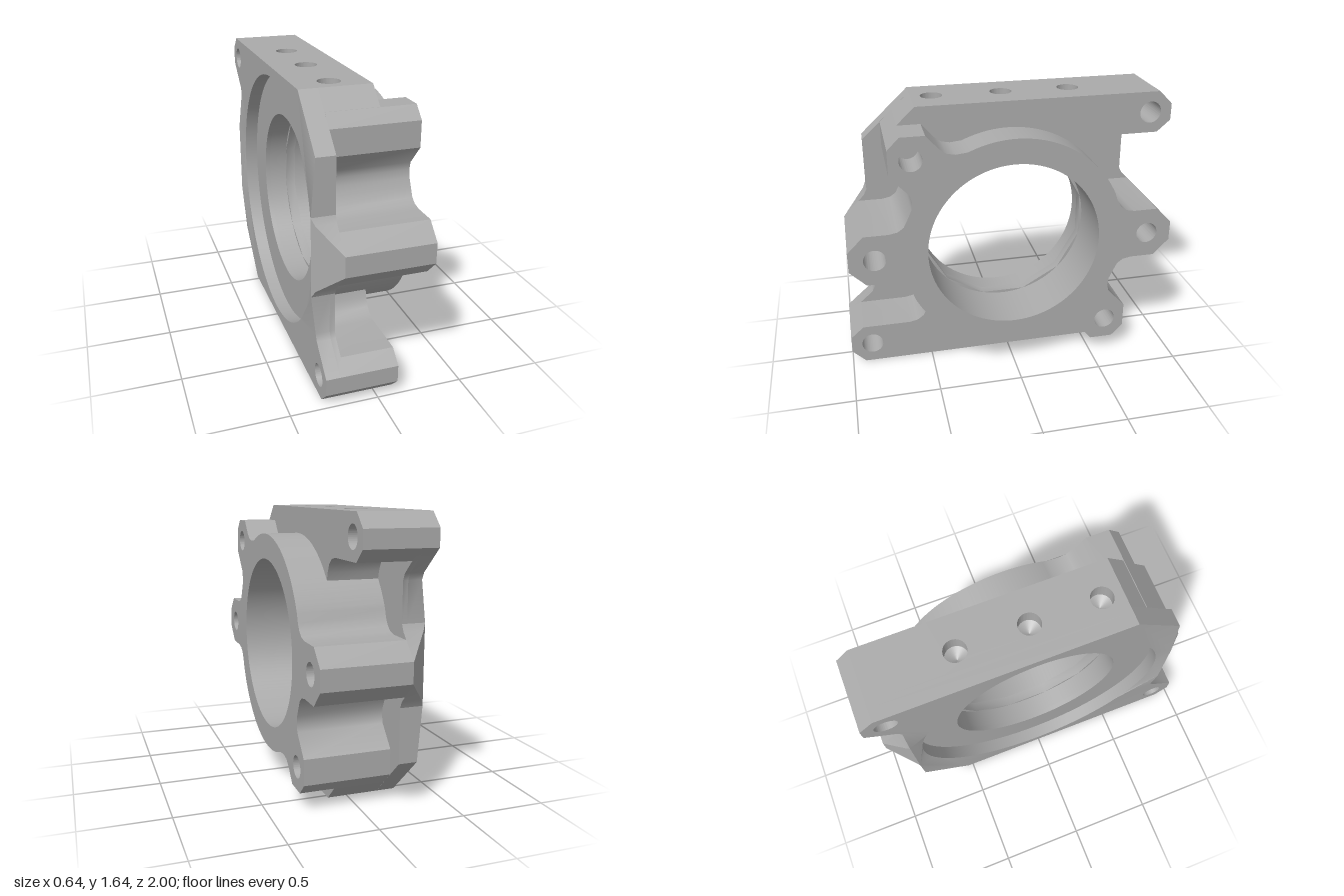
import * as THREE from 'three';
import { toCreasedNormals } from 'three/addons/utils/BufferGeometryUtils.js';

const CY = 0.82; // height of the bore axis
const BORE = 0.515;

// Half-turn copy of a point list about the bore axis
const turn = pts => pts.map(([s, y]) => [-s, 2 * CY - y]);

// Profile in (s, y), with s = -z, and round holes [s, y, radius]
function profile(pts, holes = []) {
  const shape = new THREE.Shape(pts.map(p => new THREE.Vector2(...p)));
  for (const [s, y, r] of holes) {
    shape.holes.push(new THREE.Path().absarc(s, y, r, 0, Math.PI * 2, true));
  }
  return shape;
}

// Extrude a profile along x from x0 to x1; backRule may reshape the x0 face
function extrudeX(shape, x0, x1, backRule) {
  const geo = new THREE.ExtrudeGeometry(shape, { depth: x1 - x0, bevelEnabled: false, curveSegments: 64 });
  geo.translate(0, 0, x0);
  if (backRule) {
    const p = geo.attributes.position;
    for (let i = 0; i < p.count; i++) {
      if (Math.abs(p.getZ(i) - x0) < 1e-4) p.setZ(i, backRule(p.getX(i), p.getY(i)));
    }
  }
  geo.rotateY(Math.PI / 2);
  return toCreasedNormals(geo, 0.6);
}

export function createModel() {
  const group = new THREE.Group();
  const metal = new THREE.MeshStandardMaterial({ color: 0xaaaaaa });
  metal.name = 'machined grey';
  metal.side = THREE.DoubleSide;
  const add = (name, geo) => {
    const mesh = new THREE.Mesh(geo, metal);
    mesh.name = name;
    group.add(mesh);
    return mesh;
  };

  const cornerHoles = [[0.87, 1.515, 0.065], [-0.87, 0.125, 0.065]];

  // Mounting plate: thin web plus a back layer with a round recess
  const plateHalf = [[-0.82, 1.05], [-0.82, 1.37], [-0.53, 1.64], [0.92, 1.64], [1, 1.56],
    [1, 1.46], [0.84, 1.32], [0.82, 1.28], [0.82, 1.05]];
  const plate = [...plateHalf, ...turn(plateHalf)];
  add('plateWeb', extrudeX(profile(plate, [[0, CY, BORE], ...cornerHoles]), -0.22, -0.19));
  add('plateBack', extrudeX(profile(plate, [[0, CY, 0.76], ...cornerHoles]), -0.3, -0.22,
    (s, y) => (Math.abs(s) > 0.8 && Math.abs(y - CY) < 0.3 ? -0.325 : -0.3)));

  // Chamfered back ends of the two side ears
  const wedge = [[0.82, 1.05], [0.84, 1.01], [0.97, 0.88], [0.97, 0.76], [0.84, 0.63], [0.82, 0.59]];
  for (const pts of [wedge, turn(wedge)]) {
    add('earChamfer', extrudeX(profile(pts), -0.3, -0.19, s => -0.325 + 0.9 * (Math.abs(s) - 0.82)));
  }

  // Bearing body: ring with two corner bosses and two side ears
  const arc = [];
  for (let i = 0; i <= 32; i++) {
    const a = THREE.MathUtils.degToRad(114 - (89 * i) / 32);
    arc.push([0.665 * Math.cos(a), CY + 0.665 * Math.sin(a)]);
  }
  const bodyHalf = [[-0.97, 0.88], [-0.875, 0.975], [-0.73, 0.975], [-0.68, 0.985], [-0.645, 1.01],
    [-0.62, 1.06], [-0.597, 1.11], [-0.59, 1.155], [-0.6, 1.2], [-0.71, 1.32], [-0.71, 1.47],
    [-0.64, 1.54], [-0.5, 1.54], [-0.43, 1.46], [-0.39, 1.43], [-0.34, 1.42], ...arc,
    [0.62, 1.05], [0.645, 1.01], [0.68, 0.985], [0.73, 0.975], [0.875, 0.975], [0.97, 0.88]];
  const bolts = [[-0.585, 1.405], [-0.82, CY], [0.82, CY], [0.585, 0.235]];
  const boltHoles = bolts.map(([s, y]) => [s, y, 0.065]);
  add('bearingBody', extrudeX(profile([...bodyHalf, ...turn(bodyHalf)],
    [[0, CY, BORE], ...boltHoles]), -0.19, 0.32));

  // Conical drill bottoms of the bolt holes
  for (const [s, y] of bolts) {
    const cone = new THREE.ConeGeometry(0.066, 0.05, 32, 1, true);
    cone.rotateZ(Math.PI / 2);
    add('boltHoleBottom', cone).position.set(0.03, y, -s);
  }

  // Faceted retaining ring inside the bore
  const facets = Array.from({ length: 12 }, (_, i) => {
    const a = ((i + 0.5) / 12) * Math.PI * 2;
    return [0.514 * Math.cos(a), CY + 0.514 * Math.sin(a)];
  });
  const ring = new THREE.Shape().absarc(0, CY, 0.53, 0, Math.PI * 2, false);
  ring.holes.push(new THREE.Path(facets.map(p => new THREE.Vector2(...p))));
  add('retainingRing', extrudeX(ring, -0.08, -0.02));

  // Top and bottom rails, each with a drilled pad set into a notch
  const rail = [[-0.53, 1.64], [-0.5, 1.64], [-0.5, 1.5], [0.5, 1.5], [0.5, 1.64], [0.92, 1.64],
    [1, 1.56], [1, 1.46], [0.92, 1.39], [0.63, 1.39], [0.58, 1.38], [0.54, 1.35], [0.515, 1.3],
    [0.5, 1.24], [0.4, 1.24], [0, 1.42], [-0.4, 1.25], [-0.6, 1.3], [-0.71, 1.42], [-0.71, 1.47]];
  const drillZ = [-0.41, 0, 0.41];
  const pad = profile([[-0.19, -0.5], [0.115, -0.5], [0.115, 0.5], [-0.19, 0.5]],
    drillZ.map(z => [-0.09, z, 0.065]));
  [rail, turn(rail)].forEach((pts, i) => {
    const side = i === 0 ? 'top' : 'bottom';
    add(side + 'Rail', extrudeX(profile(pts, [cornerHoles[i]]), -0.19, 0.115));
    const padGeo = new THREE.ExtrudeGeometry(pad, { depth: 0.14, bevelEnabled: false, curveSegments: 32 });
    padGeo.rotateX(-Math.PI / 2);
    add(side + 'DrilledPad', toCreasedNormals(padGeo, 0.6)).position.y = i === 0 ? 1.5 : 0;
    for (const z of drillZ) {
      const cone = new THREE.ConeGeometry(0.066, 0.04, 32, 1, true);
      if (i === 0) cone.rotateX(Math.PI);
      add(side + 'DrillBottom', cone).position.set(-0.09, i === 0 ? 1.525 : 0.115, z);
    }
  });

  return group;
}
